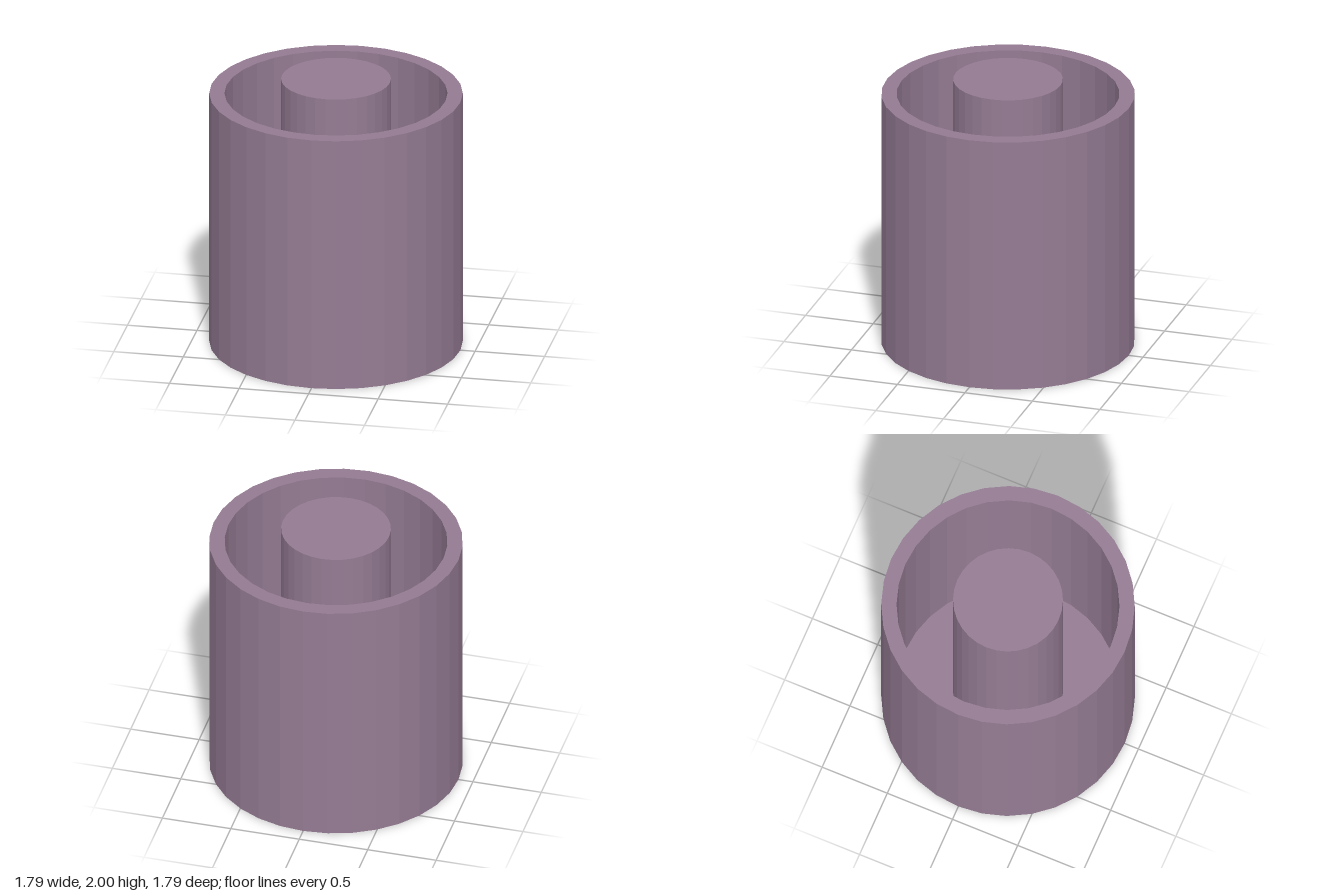
import * as THREE from 'three';

const SIDES = 32;
const OUTER = 0.895, INNER = 0.787, CORE = 0.388;
const RIM = 1.89, FLOOR = 0.11, TOP = 2;

export function createModel() {
  const group = new THREE.Group();
  group.name = 'cupWithCore';
  const material = new THREE.MeshStandardMaterial({ color: 0x947b93, flatShading: true });

  // Open cup: underside, outer wall, rim, inner wall and floor
  const profile = [
    [0, 0], [OUTER, 0], [OUTER, RIM], [INNER, RIM], [INNER, FLOOR], [0, FLOOR],
  ].map(([x, y]) => new THREE.Vector2(x, y));
  const cup = new THREE.Mesh(new THREE.LatheGeometry(profile, SIDES), material);
  cup.name = 'cup';
  group.add(cup);

  // Solid post standing on the floor and rising above the rim
  const post = new THREE.Mesh(new THREE.CylinderGeometry(CORE, CORE, TOP - FLOOR, SIDES), material);
  post.name = 'centrePost';
  post.position.y = (TOP + FLOOR) / 2;
  group.add(post);

  return group;
}
